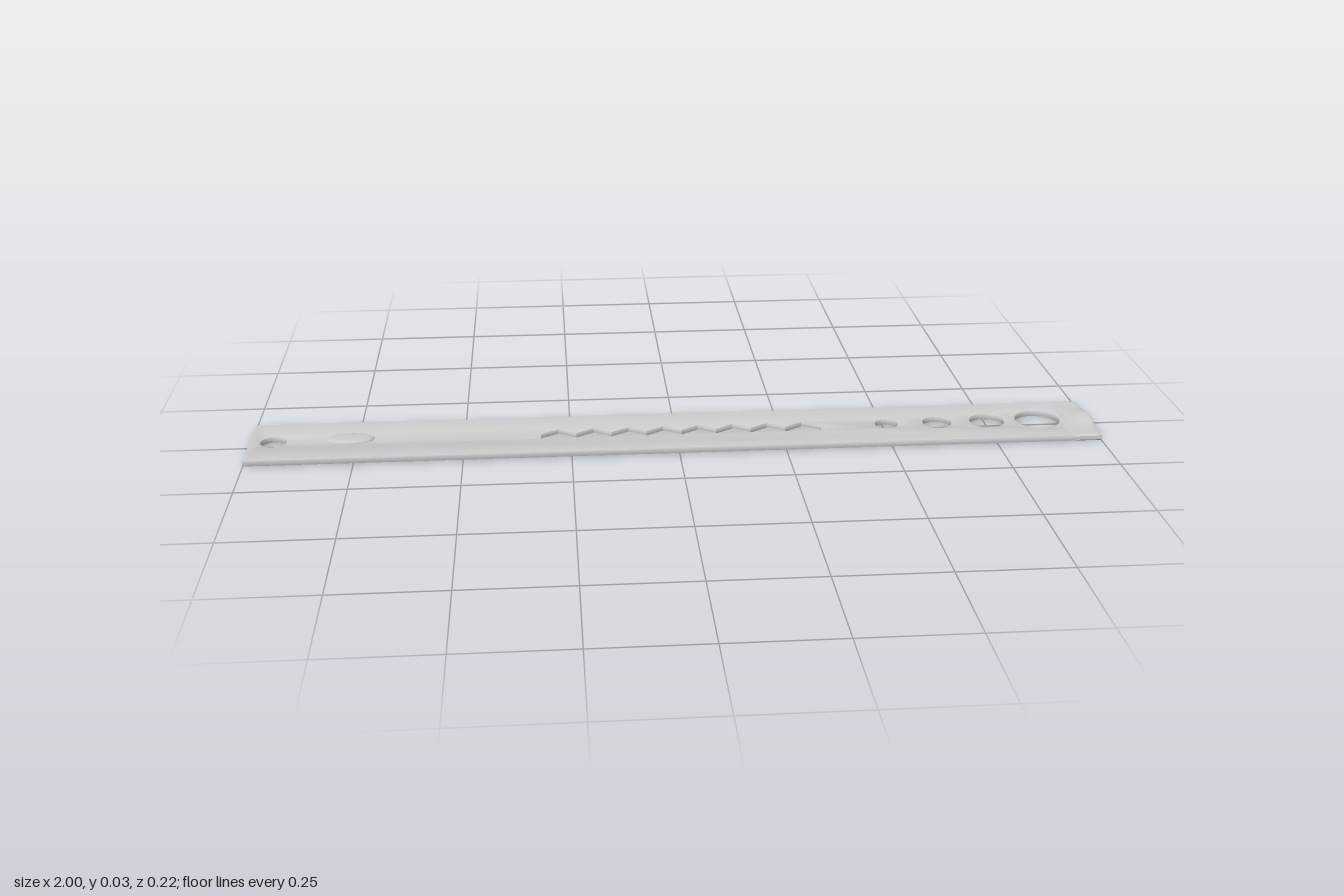
import * as THREE from 'three';
import { toCreasedNormals } from 'three/addons/utils/BufferGeometryUtils.js';

const W = 0.108;      // half width
const T = 0.015;      // plate thickness
const B = 0.003;      // edge rounding
const SPLIT = 0.938;  // where the flat plate meets the raised end lip

const material = new THREE.MeshStandardMaterial({ color: 0xcccccc });

function add(group, name, geometry) {
  const mesh = new THREE.Mesh(geometry, material);
  mesh.name = name;
  group.add(mesh);
  return mesh;
}

// Zigzag slot: a band of constant height following a triangle wave
function zigzagSlot() {
  const x0 = -0.32, step = 0.0415, n = 16, half = 0.012, amp = 0.014;
  const upper = [], lower = [];
  for (let i = 0; i <= n; i++) {
    const y = i % 2 ? amp : -amp;
    upper.push(new THREE.Vector2(x0 + i * step, y + half));
    lower.unshift(new THREE.Vector2(x0 + i * step, y - half));
  }
  return new THREE.Path([...upper, ...lower]);
}

// Flat plate with round holes and the slot
function plateGeometry() {
  const shape = new THREE.Shape([
    new THREE.Vector2(-1, -W), new THREE.Vector2(SPLIT, -W),
    new THREE.Vector2(SPLIT, W), new THREE.Vector2(-1, W),
  ]);
  for (const [x, r] of [[-0.943, 0.03], [0.505, 0.027], [0.628, 0.034], [0.75, 0.041], [0.873, 0.053]]) {
    shape.holes.push(new THREE.Path().absarc(x, 0, r, 0, Math.PI * 2, true));
  }
  shape.holes.push(zigzagSlot());

  const geo = new THREE.ExtrudeGeometry(shape, {
    depth: T - 2 * B, curveSegments: 40,
    bevelSize: B, bevelThickness: B, bevelOffset: -B, bevelSegments: 2,
  });
  geo.rotateX(-Math.PI / 2).translate(0, B, 0);

  // Square off the rounding where the lip continues the plate
  const p = geo.attributes.position;
  for (let i = 0; i < p.count; i++) if (p.getX(i) > 0.932) p.setX(i, SPLIT);
  return toCreasedNormals(geo, 0.7);
}

// End lip: the plate swells upward in the middle towards its end
function lipGeometry() {
  const L = 1 - SPLIT, nx = 12, nz = 48;
  const geo = new THREE.BoxGeometry(L, T, 2 * W, nx, 1, nz);
  geo.translate(SPLIT + L / 2, T / 2, 0);
  const p = geo.attributes.position;
  const stepX = L / nx, stepZ = 2 * W / nz;
  for (let i = 0; i < p.count; i++) {
    let x = p.getX(i), y = p.getY(i), z = p.getZ(i);
    const atEdge = Math.abs(z) > W - 0.5 * stepZ || x > 1 - 0.5 * stepX;
    // The outermost rows form the rounded edge
    if (atEdge) y += y > T / 2 ? -B : B;
    if (Math.abs(z) > W - 1.5 * stepZ && Math.abs(z) < W - 0.5 * stepZ) z = Math.sign(z) * (W - B);
    if (x > 1 - 1.5 * stepX && x < 1 - 0.5 * stepX) x = 1 - B;
    const rise = THREE.MathUtils.smoothstep(x, SPLIT, 1);
    const across = Math.abs(z) < 0.075 ? 0.5 + 0.5 * Math.cos(Math.PI * z / 0.075) : 0;
    p.setXYZ(i, x, y + 0.012 * rise * across, z);
  }
  geo.computeVertexNormals();
  return geo;
}

// Low oval boss with a softly rounded rim
function bossGeometry() {
  const profile = [[1, -0.002], [1, 0.002], [0.93, 0.0045], [0.75, 0.006], [0.4, 0.007], [0, 0.007]]
    .map(([r, y]) => new THREE.Vector2(r, y));
  const geo = new THREE.LatheGeometry(profile, 48);
  geo.scale(0.057, 1, 0.03);
  geo.computeVertexNormals();
  return geo;
}

export function createModel() {
  const group = new THREE.Group();
  group.name = 'perforatedStrip';
  add(group, 'plate', plateGeometry());
  add(group, 'endLip', lipGeometry());
  add(group, 'ovalBoss', bossGeometry()).position.set(-0.767, T, 0);
  return group;
}
